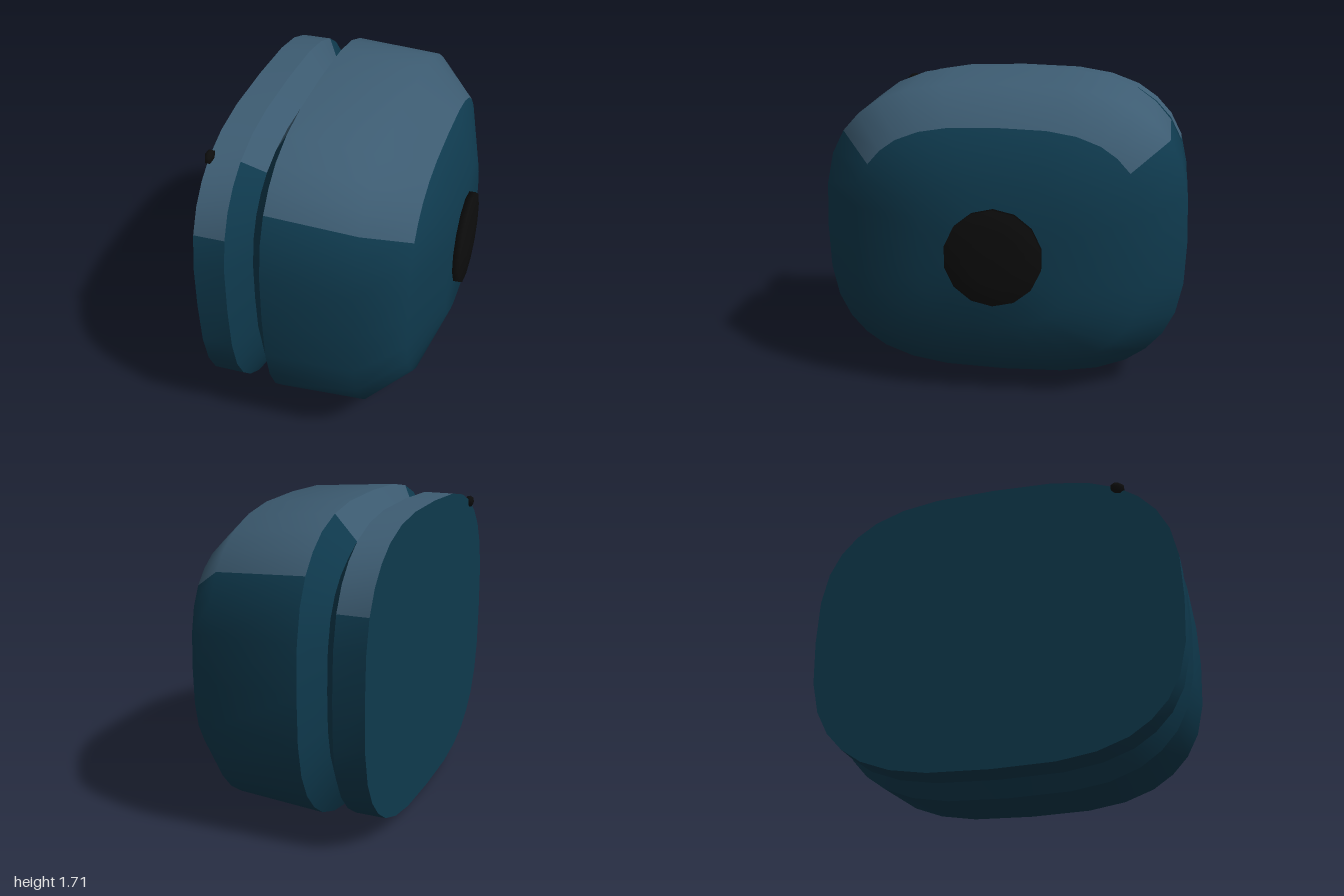
import * as THREE from 'three';

const shellBlue = new THREE.MeshStandardMaterial({ color: 0x0f3a4e });
shellBlue.name = 'deep blue';
const panelBlue = new THREE.MeshStandardMaterial({ color: 0x3d5c72 });
panelBlue.name = 'slate blue';
const black = new THREE.MeshStandardMaterial({ color: 0x0d0d0d });
black.name = 'black';

// Rounded outline, one quarter from the top to the side, as (z, y)
const QUARTER = [[0, 1], [0.33, 0.988], [0.53, 0.948], [0.69, 0.875], [0.8, 0.782],
  [0.887, 0.665], [0.952, 0.51], [0.99, 0.3], [1, 0]];
const SIDES = 32;

function outline(k) {
  const q = Math.floor(k / 8), i = k % 8;
  if (q === 0) return QUARTER[i];
  if (q === 1) return [QUARTER[8 - i][0], -QUARTER[8 - i][1]];
  if (q === 2) return [-QUARTER[i][0], -QUARTER[i][1]];
  return [-QUARTER[8 - i][0], QUARTER[8 - i][1]];
}

// Smooth band through sections [x, centreY, halfHeight, halfDepth];
// the first panelRows rows are slate within panelReach steps of the top
function band(name, sections, panelReach = 0, panelRows = 1) {
  const positions = [], base = [], panel = [];
  for (const [x, cy, hy, hz] of sections) {
    for (let k = 0; k < SIDES; k++) {
      const [z, y] = outline(k);
      positions.push(x, cy + y * hy, z * hz);
    }
  }
  for (let row = 0; row < sections.length - 1; row++) {
    for (let k = 0; k < SIDES; k++) {
      const next = (k + 1) % SIDES;
      const a = row * SIDES + k, b = row * SIDES + next;
      const onPanel = row < panelRows && (k < panelReach || k >= SIDES - panelReach);
      (onPanel ? panel : base).push(a, b, a + SIDES, b, b + SIDES, a + SIDES);
    }
  }
  const geometry = new THREE.BufferGeometry();
  geometry.setAttribute('position', new THREE.Float32BufferAttribute(positions, 3));
  geometry.setIndex([...base, ...panel]);
  geometry.addGroup(0, base.length, 0);
  geometry.addGroup(base.length, panel.length, 1);
  geometry.computeVertexNormals();
  const mesh = new THREE.Mesh(geometry, [shellBlue, panelBlue]);
  mesh.name = name;
  return mesh;
}

export function createModel() {
  const model = new THREE.Group();
  model.name = 'roundedHousing';

  const back = [-0.605, 0.855, 0.815, 1];
  const rimEdge = [-0.44, 0.855, 0.815, 1];
  const groove = [-0.35, 0.845, 0.695, 0.85];
  const bodyEdge = [-0.255, 0.8525, 0.8525, 1];

  // Shell: flat back, rim, V groove and main body closing to a flat nose
  model.add(
    band('backPlate', [[-0.605, 0.855, 0, 0], back]),
    band('rim', [back, rimEdge], 6),
    band('grooveInner', [rimEdge, groove], 3),
    band('grooveOuter', [groove, bodyEdge], 2),
    band('body', [bodyEdge, [0.225, 0.855, 0.815, 1], [0.445, 0.835, 0.645, 0.78],
      [0.558, 0.82, 0.375, 0.4], [0.558, 0.82, 0, 0]], 5, 2),
  );

  // Round button on the nose, with a slightly domed face
  const profile = [[0, 0], [0.26, 0], [0.26, 0.037], [0.12, 0.045], [0, 0.046]]
    .map(([r, h]) => new THREE.Vector2(r, h));
  const button = new THREE.Mesh(new THREE.LatheGeometry(profile, 14), black);
  button.name = 'button';
  button.rotation.set(Math.PI / 2, 0, -Math.PI / 2);
  button.position.set(0.557, 0.82, 0);
  model.add(button);

  // Small stud on the upper edge of the rim
  const stud = new THREE.Mesh(new THREE.SphereGeometry(0.03, 6, 4), black);
  stud.name = 'stud';
  stud.scale.set(0.9, 1.1, 1.5);
  stud.rotation.x = 0.45;
  stud.position.set(-0.603, 1.565, 0.69);
  model.add(stud);

  return model;
}
